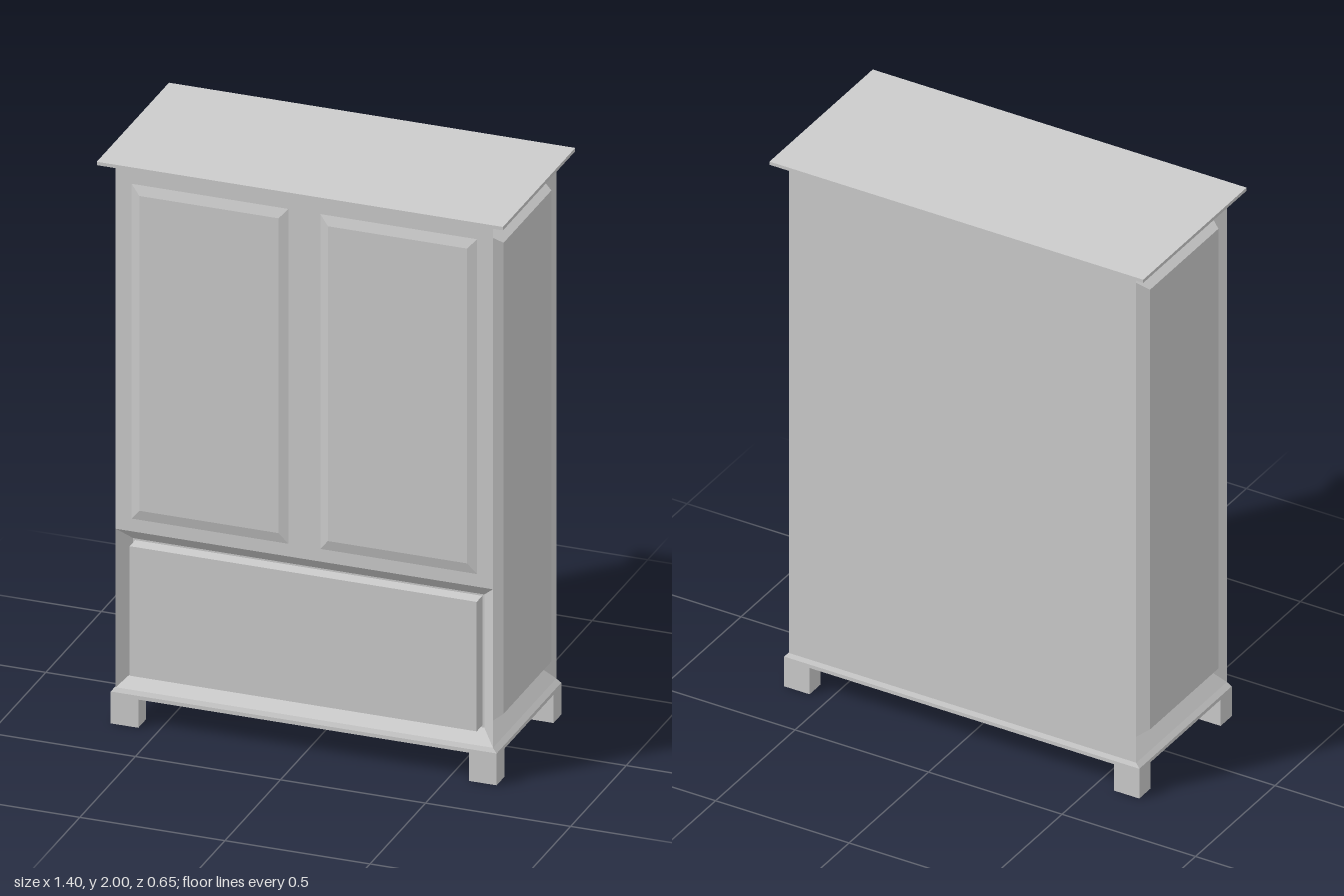
import * as THREE from 'three';

const material = new THREE.MeshStandardMaterial({ color: 0xcccccc, flatShading: true });

// Rectangles [x0, x1, y0, y1, z] joined in order and facing +z; the last one is
// filled, and the first one too when closed.
function loft(name, rects, closed = false) {
  const rings = rects.map(([x0, x1, y0, y1, z]) =>
    [[x0, y0, z], [x1, y0, z], [x1, y1, z], [x0, y1, z]]);
  const positions = [];
  const quad = (a, b, c, d) => positions.push(...a, ...b, ...c, ...a, ...c, ...d);
  for (let r = 0; r < rings.length - 1; r++) {
    for (let i = 0; i < 4; i++) {
      const j = (i + 1) % 4;
      quad(rings[r][i], rings[r][j], rings[r + 1][j], rings[r + 1][i]);
    }
  }
  quad(...rings[rings.length - 1]);
  if (closed) quad(...[...rings[0]].reverse());
  const geometry = new THREE.BufferGeometry();
  geometry.setAttribute('position', new THREE.Float32BufferAttribute(positions, 3));
  geometry.computeVertexNormals();
  const mesh = new THREE.Mesh(geometry, material);
  mesh.name = name;
  return mesh;
}

// Stack of centred horizontal rectangles [halfWidth, halfDepth, y], from low to high
function stack(name, levels, closed) {
  const mesh = loft(name, levels.map(([w, d, y]) => [-w, w, -d, d, y]), closed);
  mesh.rotation.x = -Math.PI / 2;
  return mesh;
}

export function createModel() {
  const model = new THREE.Group();
  model.name = 'wardrobe';

  const W = 0.65, D = 0.285; // half width and half depth of the carcass
  const low = 0.128, split = 0.69, high = 1.97;

  // Base moulding and cornice
  model.add(stack('baseMoulding', [[0.665, 0.291, 0.1], [0.665, 0.291, 0.113], [W, D, low]], true));
  model.add(stack('cornice', [[W, D, high], [0.7, 0.325, 1.988], [0.7, 0.325, 2]]));

  // Back board
  const back = loft('backBoard', [[-W, W, low, high, D]]);
  back.rotation.y = Math.PI;
  model.add(back);

  // Sides: sloped frame, groove, bevelled panel
  for (const side of [-1, 1]) {
    const panel = loft(side > 0 ? 'leftSide' : 'rightSide', [
      [-D, D, low, high, W],
      [-0.245, 0.245, 0.18, 1.925, 0.605],
      [-0.215, 0.215, 0.22, 1.89, 0.66],
    ]);
    panel.rotation.y = side * Math.PI / 2;
    model.add(panel);
  }

  // Door front with two raised panels
  model.add(loft('doorFront', [[-W, W, split, high, D]]));
  for (const side of [-1, 1]) {
    const c = side * 0.325;
    model.add(loft(side > 0 ? 'leftDoorPanel' : 'rightDoorPanel', [
      [c - 0.27, c + 0.27, 0.735, 1.922, D],
      [c - 0.24, c + 0.24, 0.772, 1.888, 0.295],
    ]));
  }

  // Drawer in its sloped recess
  model.add(loft('drawerFront', [
    [-W, W, low, split, D],
    [-0.605, 0.605, 0.175, 0.647, 0.245],
    [-0.598, 0.598, 0.182, 0.641, 0.245],
    [-0.598, 0.598, 0.182, 0.641, 0.295],
  ]));

  // Four block feet
  const footGeometry = new THREE.BoxGeometry(0.095, 0.1, 0.07);
  for (const x of [-1, 1]) {
    for (const z of [-1, 1]) {
      const foot = new THREE.Mesh(footGeometry, material);
      foot.name = (z > 0 ? 'front' : 'back') + (x > 0 ? 'Left' : 'Right') + 'Foot';
      foot.position.set(x * 0.6175, 0.05, z * 0.256);
      model.add(foot);
    }
  }
  return model;
}
